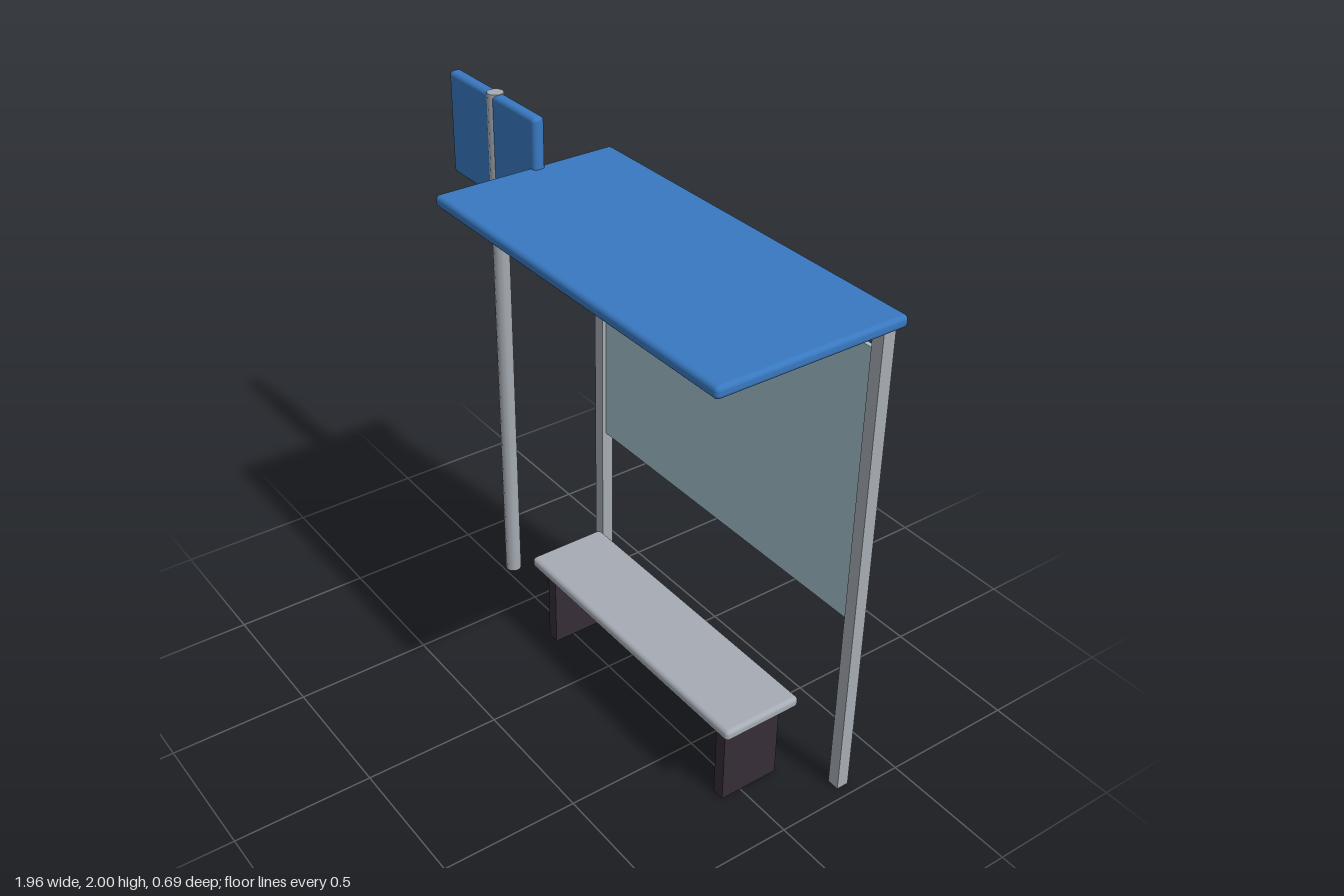
import * as THREE from 'three';
import { RoundedBoxGeometry } from 'three/addons/geometries/RoundedBoxGeometry.js';

const material = (name, color) => {
  const m = new THREE.MeshStandardMaterial({ color });
  m.name = name;
  return m;
};

export function createModel() {
  const blue = material('blue paint', 0x3878c0);
  const metal = material('grey metal', 0xa6acb4);
  const dark = material('dark legs', 0x362d36);
  const glass = material('pale glass', 0xa3c1cb);

  const group = new THREE.Group();
  group.name = 'busShelter';

  // Box spanning [x0, x1], [y0, y1], [z0, z1]; radius > 0 rounds its edges
  const box = (name, mat, [x0, x1], [y0, y1], [z0, z1], radius = 0) => {
    const size = [x1 - x0, y1 - y0, z1 - z0];
    const geometry = radius
      ? new RoundedBoxGeometry(...size, 3, radius)
      : new THREE.BoxGeometry(...size);
    const mesh = new THREE.Mesh(geometry, mat);
    mesh.name = name;
    mesh.position.set((x0 + x1) / 2, (y0 + y1) / 2, (z0 + z1) / 2);
    group.add(mesh);
  };

  // Shelter: roof, two rear posts and the pane between them
  box('roof', blue, [-0.48, 0.98], [1.775, 1.817], [-0.346, 0.346], 0.016);
  for (const [side, x] of [['right', -0.443], ['left', 0.938]]) {
    box(side + 'Post', metal, [x - 0.023, x + 0.023], [0, 1.785], [-0.315, -0.269]);
  }
  box('rearPane', glass, [-0.425, 0.92], [0.7, 1.695], [-0.3, -0.284]);

  // Bench: rounded seat on two slab legs
  box('benchSeat', metal, [-0.328, 0.823], [0.312, 0.354], [-0.19, 0.115], 0.016);
  for (const [side, x] of [['right', -0.253], ['left', 0.748]]) {
    box(side + 'BenchLeg', dark, [x - 0.023, x + 0.023], [0, 0.315], [-0.151, 0.078]);
  }

  // Sign: round pole running through a rounded panel
  const pole = new THREE.Mesh(new THREE.CylinderGeometry(0.03, 0.03, 2, 10), metal);
  pole.name = 'signPole';
  pole.position.set(-0.713, 1, -0.038);
  group.add(pole);
  box('signPanel', blue, [-0.98, -0.445], [1.62, 1.998], [-0.061, -0.015], 0.016);

  return group;
}
